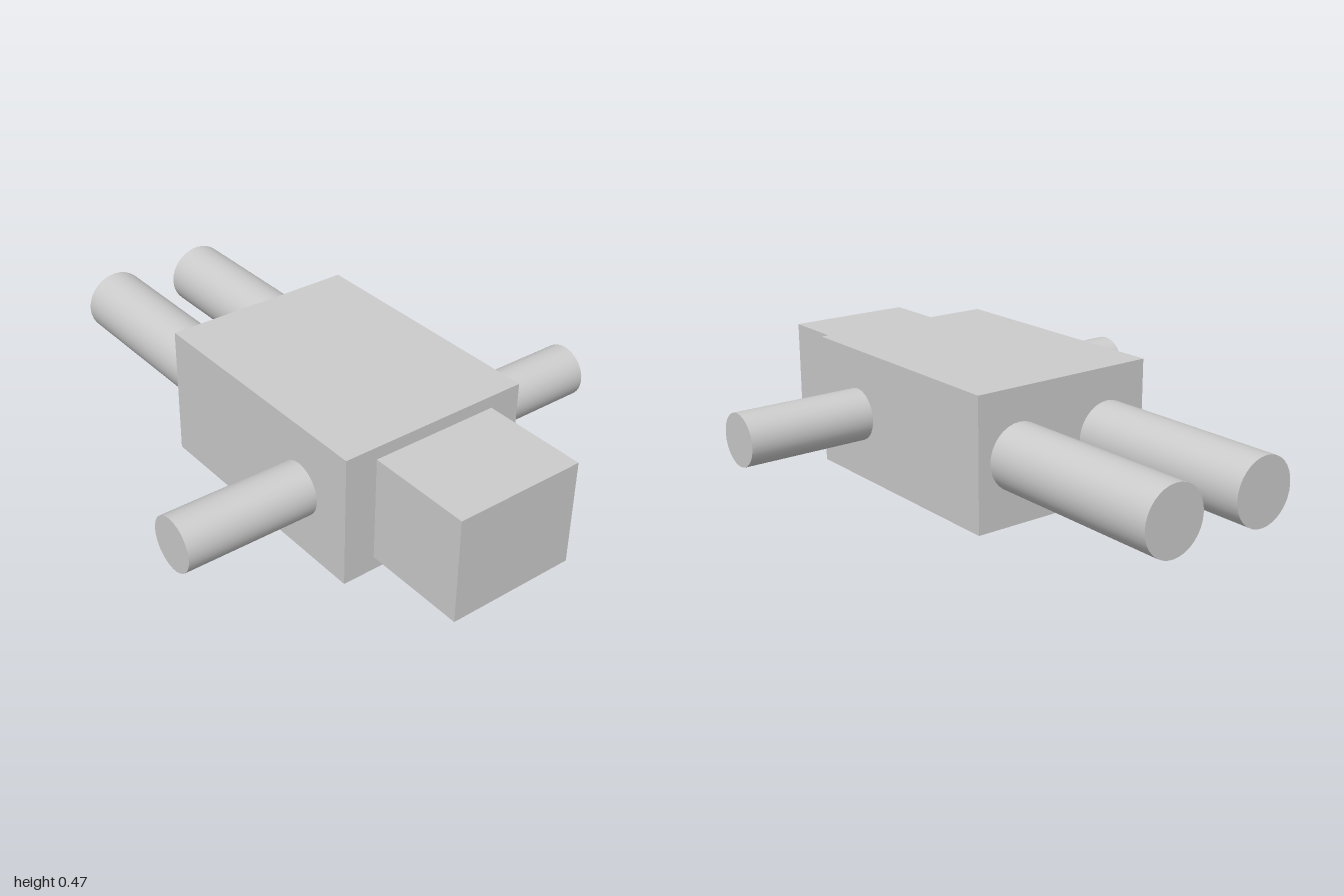
import * as THREE from 'three';

export function createModel() {
  const group = new THREE.Group();
  const material = new THREE.MeshStandardMaterial({ color: 0xcccccc });
  const midY = 0.2326;

  function add(name, geometry, x, y, z) {
    const mesh = new THREE.Mesh(geometry, material);
    mesh.name = name;
    mesh.position.set(x, y, z);
    group.add(mesh);
    return mesh;
  }

  // Torso lying flat, with the head at its front end
  add('torso', new THREE.BoxGeometry(0.6977, 0.4651, 0.9302), 0, midY, 0.1628);
  add('head', new THREE.BoxGeometry(0.4651, 0.3721, 0.3721), 0, midY + 0.0025, 0.814);

  // Arms reach out sideways, legs stretch straight back
  const armGeometry = new THREE.CylinderGeometry(0.093, 0.093, 0.4651, 32);
  const legGeometry = new THREE.CylinderGeometry(0.1163, 0.1163, 0.6977, 32);
  for (const [side, s] of [['left', 1], ['right', -1]]) {
    add(side + 'Arm', armGeometry, s * 0.5814, midY, 0.3953).rotation.z = -s * Math.PI / 2;
    add(side + 'Leg', legGeometry, s * 0.186, midY, -0.6512).rotation.x = -Math.PI / 2;
  }
  return group;
}
